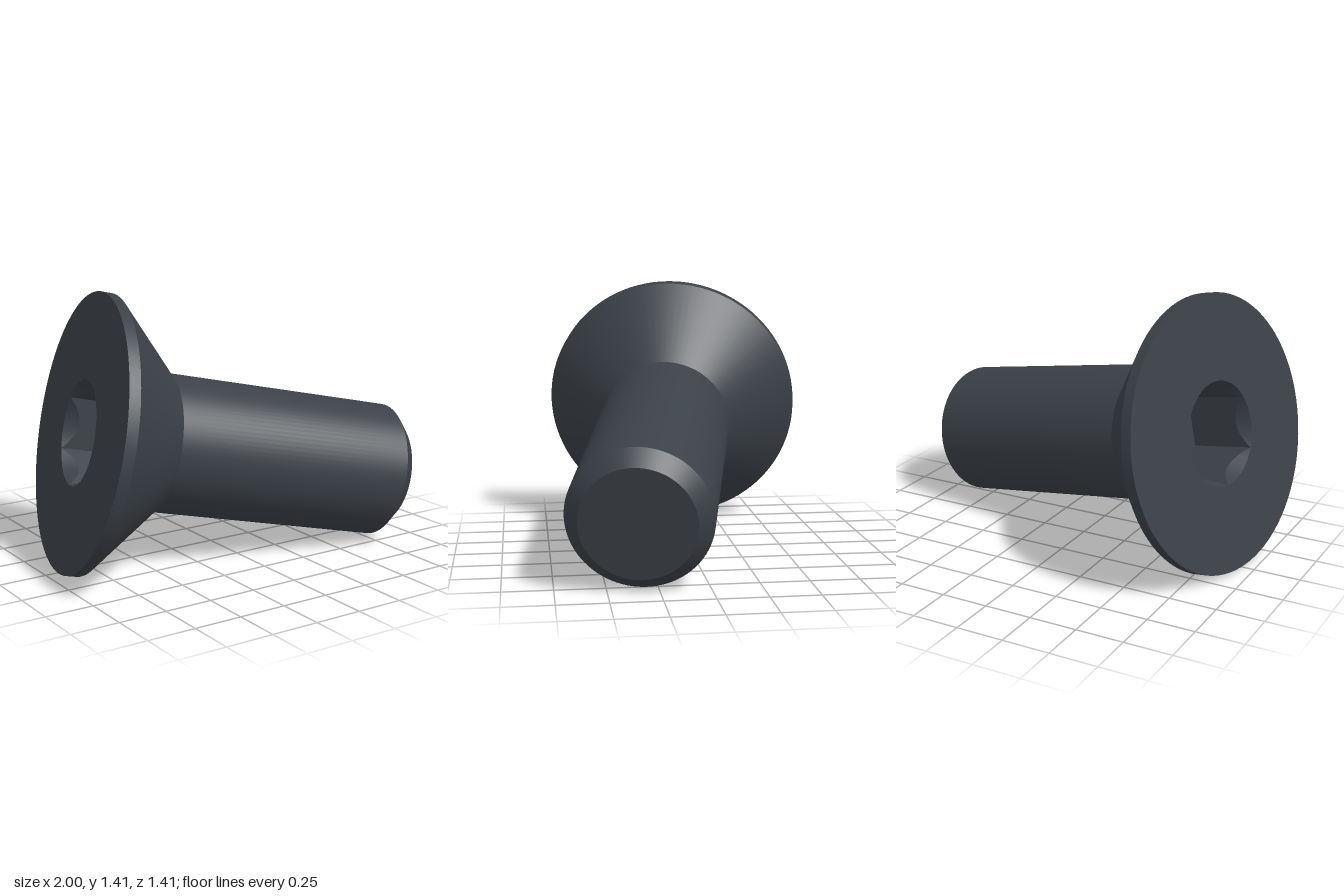
import * as THREE from 'three';

const HEAD_R = 0.715, SHAFT_R = 0.36, TIP_R = 0.286, SOCKET_R = 0.27;
const RIM = 0.057, NECK = 0.421, BEVEL = 1.712, LENGTH = 1.787, SOCKET_DEPTH = 0.36;

const steel = new THREE.MeshStandardMaterial({ color: 0x3b4148 });
steel.name = 'dark steel';

// One straight profile piece per mesh keeps the edges between pieces sharp
function turned(name, r0, y0, r1, y1, segments) {
  const profile = [new THREE.Vector2(r0, y0), new THREE.Vector2(r1, y1)];
  const mesh = new THREE.Mesh(new THREE.LatheGeometry(profile, segments), steel);
  mesh.name = name;
  return mesh;
}

// Round opening that runs through a steep countersink into a hexagonal recess
function hexSocket() {
  const profile = [[0, SOCKET_DEPTH], [SOCKET_R, SOCKET_DEPTH], [SOCKET_R, 0], [SOCKET_R, 0]]
    .map(([r, y]) => new THREE.Vector2(r, y));
  const lathe = new THREE.LatheGeometry(profile, 96);
  const pos = lathe.attributes.position;
  const sixth = Math.PI / 3;
  for (let i = 0; i < pos.count; i++) {
    const row = i % 4;
    if (row !== 1 && row !== 2) continue;
    const x = pos.getX(i), z = pos.getZ(i);
    const a = Math.atan2(z, x) + Math.PI * 2;
    const off = a - Math.floor(a / sixth) * sixth - sixth / 2;
    const k = Math.cos(sixth / 2) / Math.cos(off);
    const y = row === 1 ? SOCKET_DEPTH : (1 - k) * SOCKET_R * 2;
    pos.setXYZ(i, x * k, y, z * k);
  }
  const flat = lathe.toNonIndexed();
  flat.computeVertexNormals();
  const mesh = new THREE.Mesh(flat, steel);
  mesh.name = 'hexSocket';
  return mesh;
}

export function createModel() {
  const model = new THREE.Group();
  model.name = 'countersunkScrew';

  const screw = new THREE.Group();
  screw.name = 'screw';
  screw.add(
    turned('headFace', SOCKET_R, 0, HEAD_R, 0, 96),
    turned('headRim', HEAD_R, 0, HEAD_R, RIM, 96),
    turned('headCone', HEAD_R, RIM, SHAFT_R, NECK, 96),
    turned('shaft', SHAFT_R, NECK, SHAFT_R, BEVEL, 96),
    turned('tipBevel', SHAFT_R, BEVEL, TIP_R, LENGTH, 96),
    turned('tipFace', TIP_R, LENGTH, 0, LENGTH, 96),
    hexSocket()
  );

  // Lay the screw along its tilted axis, with two socket corners pointing up and down
  const axis = new THREE.Vector3(1, -0.215, 0.215).normalize();
  const up = new THREE.Vector3(0, 1, 0).addScaledVector(axis, -axis.y).normalize();
  const side = new THREE.Vector3().crossVectors(up, axis);
  screw.quaternion.setFromRotationMatrix(new THREE.Matrix4().makeBasis(up, axis, side));
  screw.position.set(-0.793, 0.712, -0.006);
  model.add(screw);
  return model;
}
